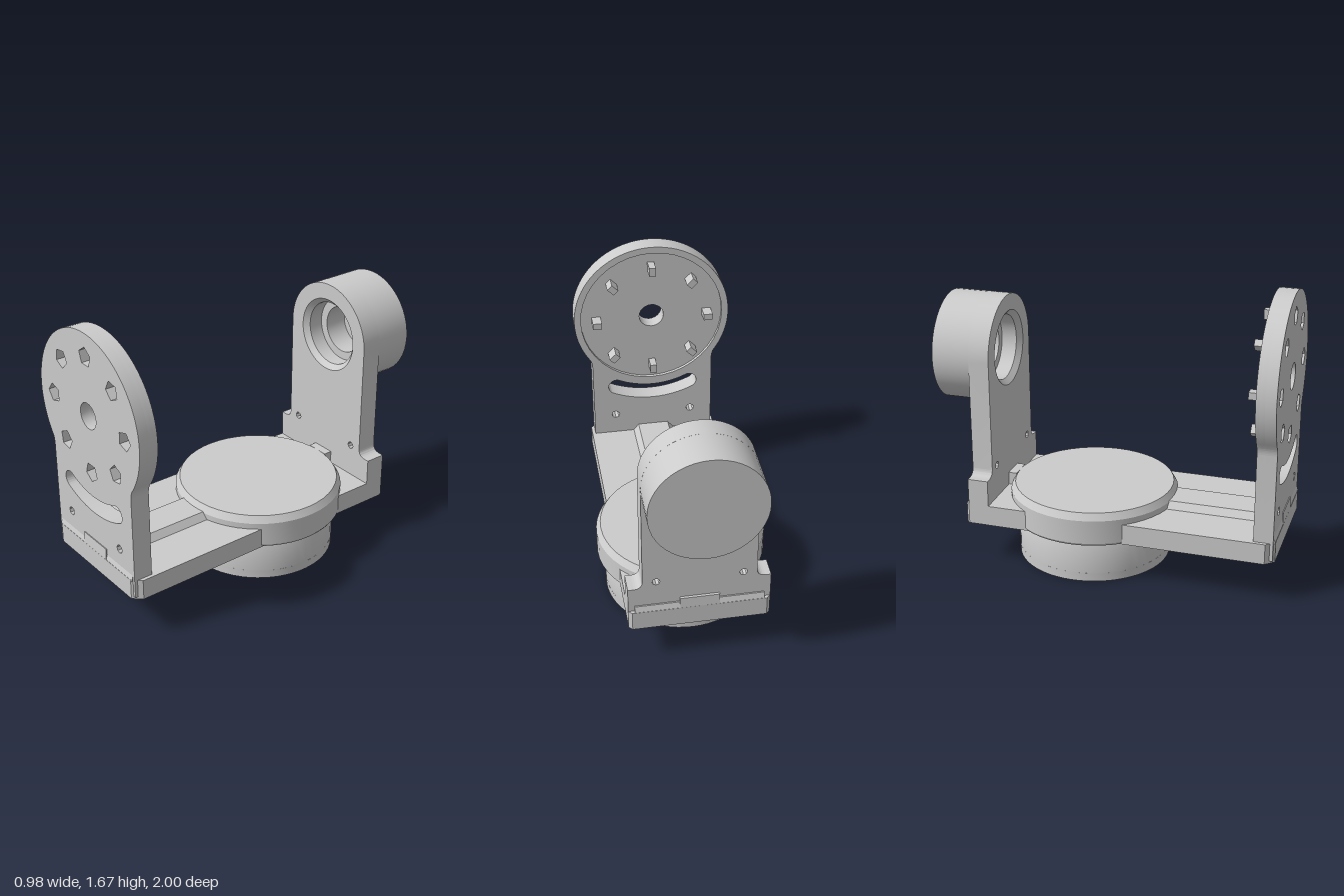
import * as THREE from 'three';
import { toCreasedNormals } from 'three/addons/utils/BufferGeometryUtils.js';

const grey = new THREE.MeshStandardMaterial({ color: 0xcccccc });
const HUB_Y = 1.2; // height of the tilt axis
const TURN_Z = -0.145; // centre of the turntable

function add(parent, name, geometry) {
  const mesh = new THREE.Mesh(toCreasedNormals(geometry, 0.5), grey);
  mesh.name = name;
  parent.add(mesh);
  return mesh;
}

function polygon(points) {
  return new THREE.Shape(points.map(([x, y]) => new THREE.Vector2(x, y)));
}

// Regular outline, used for round holes and for faceted pockets
function ring(x, y, r, sides = 24, turn = 0) {
  const pts = [];
  for (let i = 0; i < sides; i++) {
    const a = turn + (i / sides) * Math.PI * 2;
    pts.push(new THREE.Vector2(x + r * Math.cos(a), y + r * Math.sin(a)));
  }
  return new THREE.Path(pts);
}

function slab(shape, holes, z0, z1) {
  shape.holes = holes;
  const g = new THREE.ExtrudeGeometry(shape, { depth: z1 - z0, bevelEnabled: false, curveSegments: 32 });
  return g.translate(0, 0, z0);
}

function lathe(points, segments = 48) {
  return new THREE.LatheGeometry(points.map(([r, y]) => new THREE.Vector2(r, y)), segments);
}

// Eight stations around the hub
const stations = Array.from({ length: 8 }, (_, i) => {
  const a = (i / 8) * Math.PI * 2;
  return { a, x: 0.34 * Math.cos(a), y: HUB_Y + 0.34 * Math.sin(a) };
});

function frontPlateOutline() {
  const s = new THREE.Shape();
  const a = -0.62;
  s.moveTo(-0.375, 0.26);
  s.lineTo(0.375, 0.26);
  s.lineTo(0.375, 0.87);
  s.quadraticCurveTo(0.375, 0.9, 0.475 * Math.cos(a), HUB_Y + 0.475 * Math.sin(a));
  s.absarc(0, HUB_Y, 0.475, a, Math.PI - a, false);
  s.quadraticCurveTo(-0.375, 0.9, -0.375, 0.87);
  return s;
}

// Curved slot concentric with the hub
function arcSlot() {
  const p = new THREE.Path();
  const mid = -Math.PI / 2, half = 0.44, r = 0.54, w = 0.05;
  const end = mid + half, start = mid - half;
  p.absarc(0, HUB_Y, r + w, start, end, false);
  p.absarc(r * Math.cos(end), HUB_Y + r * Math.sin(end), w, end, end + Math.PI, false);
  p.absarc(0, HUB_Y, r - w, end, start, true);
  p.absarc(r * Math.cos(start), HUB_Y + r * Math.sin(start), w, start + Math.PI, start + Math.PI * 2, false);
  return p;
}

// Cross-section in (z, y), swept along x
function footBar(width, profile) {
  const g = slab(polygon(profile), [], -width / 2, width / 2);
  return g.rotateY(-Math.PI / 2);
}

function buildFrontPlate() {
  const plate = new THREE.Group();
  plate.name = 'frontPlate';
  const screws = () => [-0.24, 0.24].map((x) => ring(x, 0.5, 0.025, 8));
  const common = () => [arcSlot(), ...screws()];
  const hub = () => ring(0, HUB_Y, 0.075);
  const pockets = stations.map(({ a, x, y }) => ring(x, y, 0.055, 5, a));
  add(plate, 'plateFace', slab(frontPlateOutline(), [hub(), ...common(), ...pockets], 0.93, 0.99));
  add(plate, 'plateWeb', slab(frontPlateOutline(), [hub(), ...common()], 0.9, 0.93));
  add(plate, 'plateRim', slab(frontPlateOutline(), [ring(0, HUB_Y, 0.435, 40), ...common()], 0.88, 0.9));
  for (const { a, x, y } of stations) {
    const pin = add(plate, 'pin', new THREE.BoxGeometry(0.055, 0.04, 0.09));
    pin.position.set(x, y, 0.865);
    pin.rotation.z = a;
  }
  return plate;
}

function buildRearArm() {
  const arm = new THREE.Group();
  arm.name = 'rearArm';
  const s = new THREE.Shape();
  s.moveTo(-0.395, 0.27);
  s.lineTo(0.395, 0.27);
  s.lineTo(0.395, 0.52);
  s.lineTo(0.365, 0.52);
  s.quadraticCurveTo(0.315, 0.52, 0.315, 0.57);
  s.lineTo(0.315, HUB_Y);
  s.absarc(0, HUB_Y, 0.315, 0, Math.PI, false);
  s.lineTo(-0.315, 0.57);
  s.quadraticCurveTo(-0.315, 0.52, -0.365, 0.52);
  s.lineTo(-0.395, 0.52);
  const holes = [ring(0, HUB_Y, 0.3, 32), ...[-0.24, 0.24].map((x) => ring(x, 0.56, 0.022, 8))];
  add(arm, 'armPlate', slab(s, holes, -0.78, -0.66));
  // Bearing cup, open to the front
  const cup = lathe([
    [0, 0.92], [0.14, 0.92], [0.14, 0.78], [0.19, 0.78], [0.19, 0.69],
    [0.22, 0.66], [0.315, 0.66], [0.315, 1], [0, 1],
  ]);
  add(arm, 'bearingHousing', cup.rotateX(-Math.PI / 2).translate(0, HUB_Y, 0));
  return arm;
}

function buildBase() {
  const base = new THREE.Group();
  base.name = 'base';
  // Outline is (x, -z), laid flat
  const deck = polygon([
    [-0.35, -1], [0.35, -1], [0.395, -0.95], [0.395, 0.78], [0.375, 0.8],
    [-0.375, 0.8], [-0.395, 0.78], [-0.395, -0.95],
  ]);
  add(base, 'deck', slab(deck, [], 0.245, 0.365).rotateX(-Math.PI / 2));
  // Ramped feet that clamp the two uprights, each with a raised centre tab
  for (const [name, inner, outer, d] of [['frontFoot', 0.88, 1, 1], ['rearFoot', -0.66, -0.8, -1]]) {
    add(base, name, footBar(0.72, [[inner, 0.36], [outer, 0.36], [outer - d * 0.012, 0.4], [inner, 0.4]]));
    add(base, name + 'Tab', footBar(0.22, [[inner, 0.36], [outer, 0.36], [outer - d * 0.005, 0.43], [inner, 0.43]]));
  }
  // Centre rail with sloped sides
  const rail = polygon([[-0.13, 0.36], [0.13, 0.36], [0.095, 0.405], [-0.095, 0.405]]);
  add(base, 'rail', slab(rail, [], 0.2, 0.89));
  add(base, 'keyTab', new THREE.BoxGeometry(0.14, 0.08, 0.06)).position.set(0, 0.4, -0.64);
  return base;
}

function buildTurntable() {
  const table = new THREE.Group();
  table.name = 'turntable';
  table.position.z = TURN_Z;
  add(table, 'topDisc', lathe([[0, 0.245], [0.48, 0.245], [0.49, 0.26], [0.49, 0.4], [0.465, 0.44], [0, 0.44]]));
  add(table, 'drum', lathe([[0, 0.05], [0.445, 0.05], [0.445, 0.22], [0.43, 0.25], [0, 0.25]]));
  // Underside with a centre bore and two rings of fixing holes
  const holes = [ring(0, 0, 0.04, 12)];
  for (let i = 0; i < 6; i++) {
    const a = (i / 6) * Math.PI * 2;
    holes.push(ring(0.13 * Math.cos(a), 0.13 * Math.sin(a), 0.03, 6));
    holes.push(ring(0.3 * Math.cos(a + 0.5), 0.3 * Math.sin(a + 0.5), 0.02, 6));
  }
  const disc = new THREE.Shape().absarc(0, 0, 0.445, 0, Math.PI * 2, false);
  add(table, 'drumBottom', slab(disc, holes, 0, 0.05).rotateX(-Math.PI / 2));
  return table;
}

export function createModel() {
  const model = new THREE.Group();
  model.name = 'tiltBracket';
  model.add(buildBase(), buildTurntable(), buildFrontPlate(), buildRearArm());
  return model;
}
